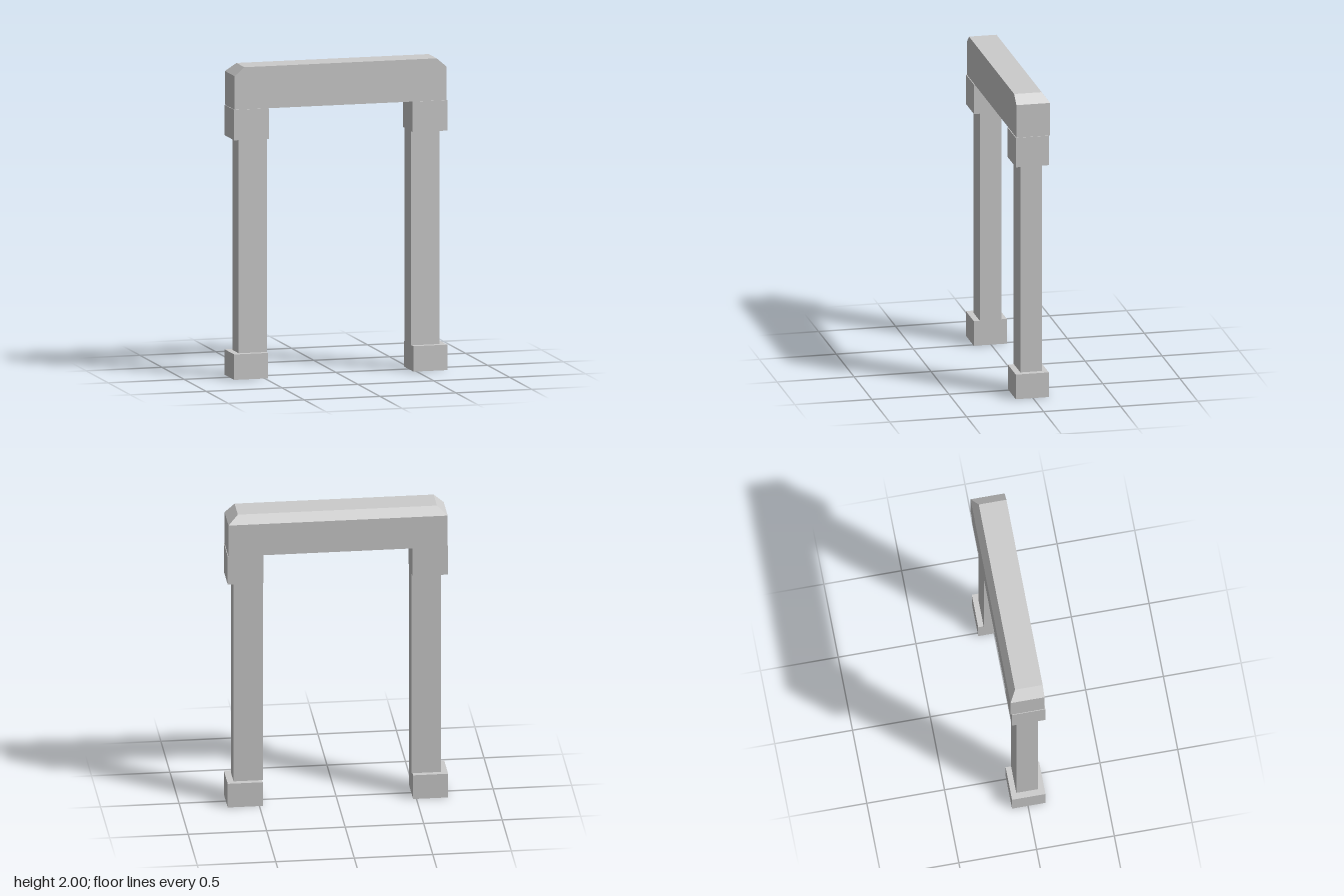
import * as THREE from 'three';

const material = new THREE.MeshStandardMaterial({ color: 0xcccccc, flatShading: true, side: THREE.DoubleSide });

// Box given by its limits; an open box has no underside
function block(name, [x0, x1], [y0, y1], [z0, z1], open = false) {
  let geometry = new THREE.BoxGeometry(x1 - x0, y1 - y0, z1 - z0);
  geometry.translate((x0 + x1) / 2, (y0 + y1) / 2, (z0 + z1) / 2);
  if (open) {
    // Indices 18 to 23 are the bottom face
    const index = Array.from(geometry.index.array);
    index.splice(18, 6);
    geometry.setIndex(index);
    geometry.clearGroups();
  }
  const mesh = new THREE.Mesh(geometry, material);
  mesh.name = name;
  return mesh;
}

// Lintel: a beam whose top is bevelled at both ends and along the back
function makeLintel() {
  const top = 2, shoulder = 1.945, bottom = 1.73;
  const front = 0.107, back = -0.112, halfWidth = 0.698;
  const group = new THREE.Group();
  group.name = 'lintel';
  group.add(block('lintelBeam', [-halfWidth, halfWidth], [bottom, shoulder], [back, front]));

  const bevel = new THREE.BoxGeometry(2 * halfWidth, top - shoulder, front - back);
  bevel.translate(0, (top + shoulder) / 2, (front + back) / 2);
  const p = bevel.attributes.position;
  for (let i = 0; i < p.count; i++) {
    if (p.getY(i) < top - 0.01) continue;
    p.setX(i, Math.sign(p.getX(i)) * 0.634);
    if (p.getZ(i) < 0) p.setZ(i, -0.071);
  }
  bevel.computeVertexNormals();
  const mesh = new THREE.Mesh(bevel, material);
  mesh.name = 'lintelBevel';
  group.add(mesh);
  return group;
}

export function createModel() {
  const model = new THREE.Group();
  model.name = 'gateway';
  model.add(makeLintel());

  // Two mirrored pillars: base, shaft and capital
  for (const [side, s] of [['left', 1], ['right', -1]]) {
    const span = (inner, outer) => [s * inner, s * outer].sort((a, b) => a - b);
    const pillar = new THREE.Group();
    pillar.name = side + 'Pillar';
    pillar.add(
      block(side + 'Base', span(0.479, 0.702), [0, 0.163], [-0.103, 0.112], true),
      block(side + 'Shaft', span(0.474, 0.661), [0.163, 1.535], [-0.068, 0.073]),
      block(side + 'Capital', span(0.474, 0.702), [1.535, 1.73], [-0.103, 0.112])
    );
    model.add(pillar);
  }
  return model;
}
